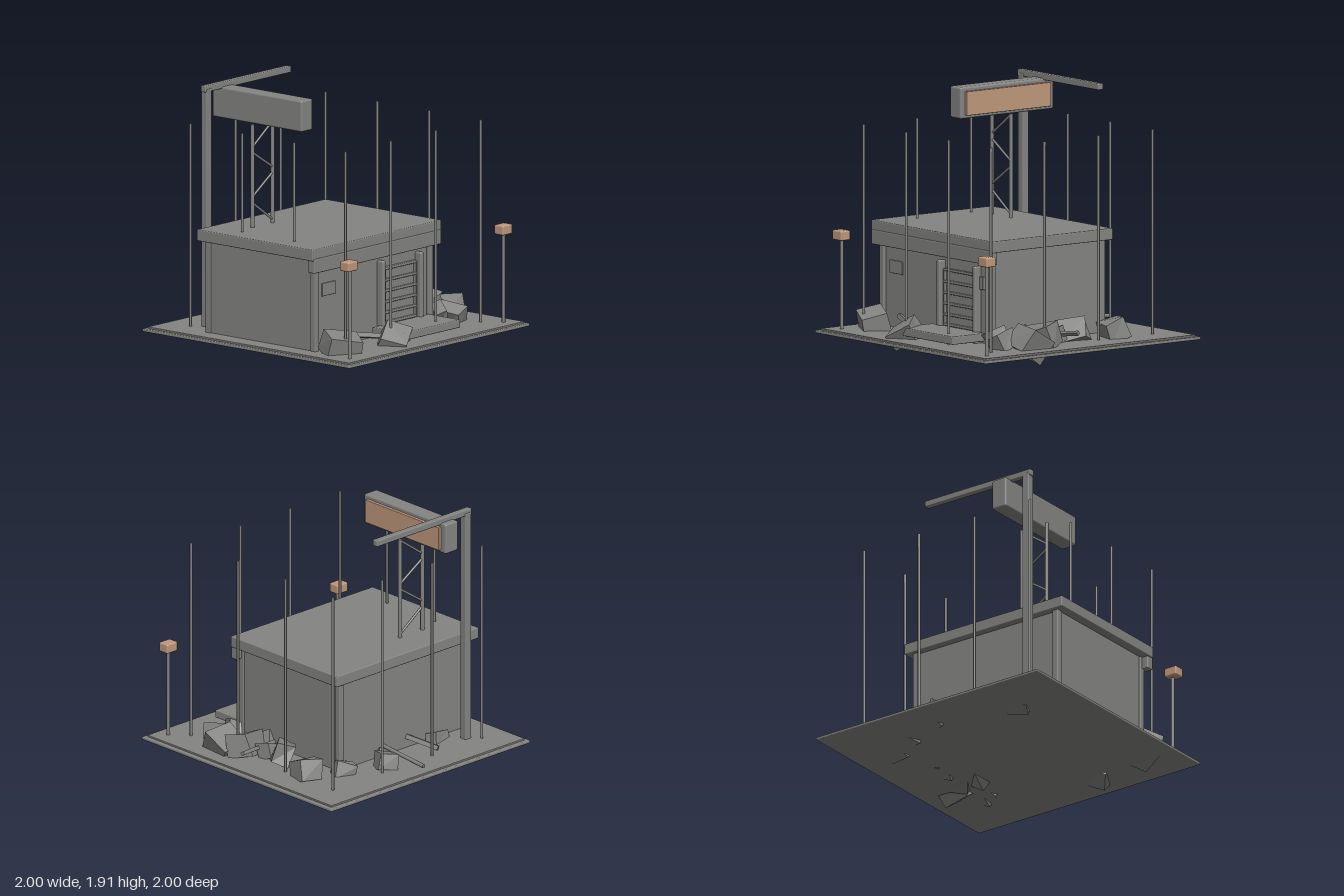
import * as THREE from 'three';
import { RoundedBoxGeometry } from 'three/addons/geometries/RoundedBoxGeometry.js';

export function createModel() {
  const model = new THREE.Group();
  model.name = 'ruinedOutpost';
  const grey = new THREE.MeshStandardMaterial({ color: 0x848482 });
  grey.name = 'concrete grey';
  const orange = new THREE.MeshStandardMaterial({ color: 0xc0987c });
  orange.name = 'lamp orange';

  const add = (name, geo, mat = grey) => {
    const mesh = new THREE.Mesh(geo, mat);
    mesh.name = name;
    model.add(mesh);
    return mesh;
  };
  // Softly bevelled box given by its extents
  const block = (name, x0, x1, y0, y1, z0, z1, mat = grey, r = 0.008) => {
    const w = x1 - x0, h = y1 - y0, d = z1 - z0;
    const geo = new RoundedBoxGeometry(w, h, d, 2, Math.min(r, w / 3, h / 3, d / 3));
    const mesh = add(name, geo, mat);
    mesh.position.set((x0 + x1) / 2, (y0 + y1) / 2, (z0 + z1) / 2);
    return mesh;
  };
  // Round or square bar between two points
  const bar = (name, from, to, radius, sides = 10) => {
    const a = new THREE.Vector3(...from), b = new THREE.Vector3(...to);
    const dir = b.clone().sub(a);
    const mesh = add(name, new THREE.CylinderGeometry(radius, radius, dir.length(), sides));
    if (sides === 4) {
      mesh.geometry = mesh.geometry.toNonIndexed();
      mesh.geometry.computeVertexNormals();
    }
    mesh.position.copy(a).add(b).multiplyScalar(0.5);
    mesh.quaternion.setFromUnitVectors(new THREE.Vector3(0, 1, 0), dir.normalize());
    return mesh;
  };

  // Ground plate with stepped rim
  block('basePlate', -1, 1, 0.08, 0.103, -1, 1);
  block('baseTop', -0.97, 0.97, 0.1, 0.116, -0.97, 0.97, grey, 0.004);

  // Building
  block('walls', -0.83, 0.46, 0.1, 0.82, -0.505, 0.505);
  for (const x of [-0.815, 0.445])
    for (const z of [-0.505, 0.505])
      block('cornerPost', x - 0.025, x + 0.025, 0.11, 0.81, z - 0.025, z + 0.025);
  block('roof', -0.9, 0.525, 0.8, 0.885, -0.56, 0.56);
  block('frontFascia', -0.89, 0.515, 0.708, 0.815, 0.505, 0.567);

  // Shuttered doorway
  for (const x of [-0.11, 0.31])
    block('doorPost', x - 0.019, x + 0.019, 0.11, 0.68, 0.5, 0.565, grey, 0.015);
  block('doorPanel', -0.08, 0.28, 0.11, 0.62, 0.5, 0.52);
  for (const x of [-0.073, 0.273])
    block('shutterSide', x - 0.01, x + 0.01, 0.11, 0.62, 0.51, 0.54);
  for (const y of [0.21, 0.285, 0.365, 0.445, 0.525, 0.612])
    block('shutterSlat', -0.08, 0.28, y - 0.01, y + 0.01, 0.51, 0.54);
  block('wallPlaque', -0.74, -0.59, 0.51, 0.605, 0.5, 0.514, grey, 0.003);
  block('doorSwitch', 0.33, 0.37, 0.51, 0.605, 0.5, 0.525, grey, 0.003);
  block('frontStep', -0.21, 0.415, 0.14, 0.2, 0.53, 0.84);

  // Upright rods round the edge
  const steps = [-0.75, -0.25, 0.25, 0.745];
  steps.forEach((x, i) => steps.forEach((z, j) => {
    if (i % 3 === 0 || j % 3 === 0) bar('rod', [x, 0.1, z], [x, 1.62, z], 0.01, 8);
  }));

  // Lamps on the front corners
  for (const x of [-0.855, 0.855]) {
    const post = x < 0 ? -0.847 : x;
    bar('lampPost', [post, 0.1, 0.87], [post, 0.79, 0.87], 0.013);
    block('lampHead', x - 0.054, x + 0.054, 0.77, 0.842, 0.825, 0.913, orange, 0.012);
  }

  // Lattice tower carrying the sign box
  for (const x of [-0.575, -0.352])
    bar('towerLeg', [x, 0.87, -0.305], [x, 1.648, -0.305], 0.015);
  const braces = [[-0.352, 1.64, -0.575, 1.48], [-0.575, 1.44, -0.352, 1.3],
    [-0.352, 1.26, -0.575, 1.11], [-0.575, 1.065, -0.352, 0.91]];
  for (const [xa, ya, xb, yb] of braces)
    bar('towerBrace', [xa, ya, -0.305], [xb, yb, -0.305], 0.009, 8);
  block('signBox', -0.525, -0.398, 1.64, 1.872, -0.738, 0.125, grey, 0.015);
  block('signPanel', -0.4, -0.373, 1.665, 1.842, -0.692, 0.085, orange, 0.004);

  // Crane mast and arm
  block('craneMast', -0.698, -0.638, 0.1, 1.88, -0.695, -0.638);
  block('craneArm', -0.708, 0.245, 1.858, 1.906, -0.69, -0.642);

  // Rubble: skewed boxes, partly sunk through the plate
  let seed = 7;
  const rand = () => (seed = (seed * 16807) % 2147483647) / 2147483647 - 0.5;
  const rock = (x, y, z, w, h, d, rx, ry, rz) => {
    const geo = new THREE.BoxGeometry(w, h, d);
    const p = geo.attributes.position, skew = {};
    for (let i = 0; i < p.count; i++) {
      const key = [p.getX(i), p.getY(i), p.getZ(i)].map(Math.sign).join();
      skew[key] ??= [rand() * w, rand() * h, rand() * d];
      const [a, b, c] = skew[key];
      p.setXYZ(i, p.getX(i) + a * 0.2, p.getY(i) + b * 0.2, p.getZ(i) + c * 0.2);
    }
    const flat = geo.toNonIndexed();
    flat.computeVertexNormals();
    const mesh = add('rubble', flat);
    mesh.position.set(x, y, z);
    mesh.rotation.set(rx, ry, rz, 'YXZ');
  };
  rock(-0.72, 0.165, 0.68, 0.29, 0.15, 0.2, 0.3, -0.5, -0.2);
  rock(-0.24, 0.145, 0.76, 0.2, 0.13, 0.2, 0.3, 0.6, 0.5);
  rock(0.7, 0.17, -0.43, 0.18, 0.15, 0.17, 0.3, -0.3, 0.1);
  rock(0.63, 0.19, -0.11, 0.19, 0.15, 0.13, -0.3, 0.75, 0.25);
  rock(0.62, 0.15, 0.06, 0.13, 0.11, 0.11, 0.3, 0.2, 0.3);
  rock(0.68, 0.165, 0.25, 0.27, 0.17, 0.2, 0.3, 0.5, 0.3);
  rock(0.74, 0.145, 0.39, 0.22, 0.18, 0.2, -0.5, 0.1, -0.2);
  rock(0.64, 0.16, 0.55, 0.12, 0.13, 0.18, 0.2, 0.3, 0.4);
  rock(0.54, 0.17, 0.52, 0.1, 0.14, 0.16, 0.4, -0.5, 0.2);
  rock(0.16, 0.16, -0.69, 0.14, 0.13, 0.12, 0.3, -0.4, 0.2);
  rock(0.45, 0.14, -0.56, 0.15, 0.12, 0.11, 0.2, -0.5, 0.3);
  rock(-0.5, 0.12, -0.55, 0.17, 0.11, 0.1, 0.3, 0.3, 0.2);
  rock(0.46, 0.13, 0.25, 0.14, 0.12, 0.18, 0.4, 0.2, 0.5);

  // Fallen beams and pipes
  bar('fallenBeam', [0.47, 0.16, 0.16], [0.89, 0.21, 0.05], 0.019, 4);
  bar('fallenBeam', [-0.6, 0.21, 0.53], [-0.17, 0.15, 0.71], 0.024, 4);
  bar('fallenBeam', [-0.34, 0.14, -0.72], [-0.23, 0.2, -0.5], 0.024, 4);
  bar('fallenBeam', [0.05, 0.18, -0.52], [0.13, 0.13, -0.65], 0.022, 4);
  bar('fallenPipe', [0.004, 0.19, -0.5], [0.004, 0.15, -0.93], 0.015);

  return model;
}
